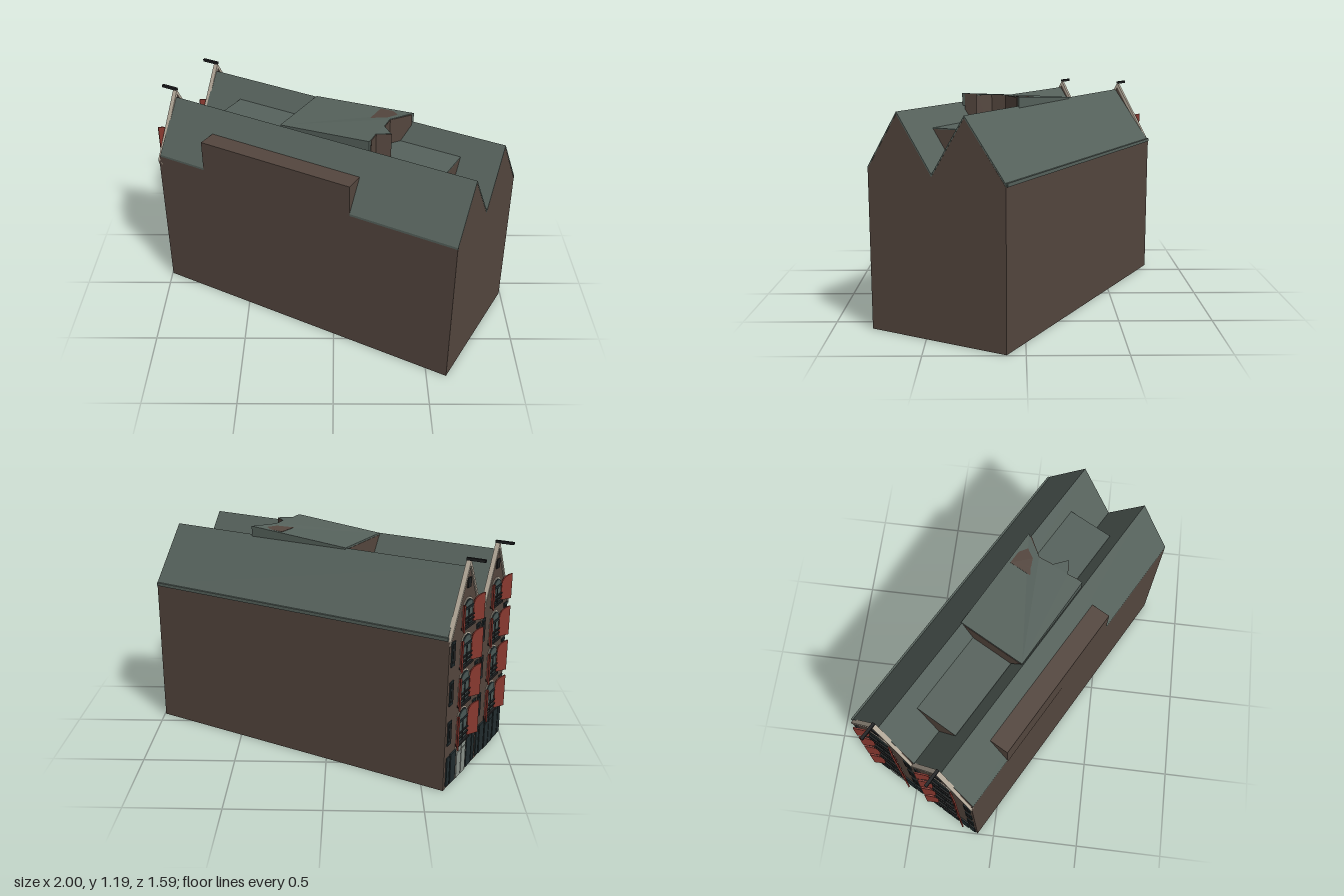
import * as THREE from 'three';

const mat = (name, color) => Object.assign(new THREE.MeshStandardMaterial({ color }), { name });
const brick = mat('brown brick', 0x54463e);
const slate = mat('grey green roof', 0x56625c);
const cream = mat('cream trim', 0xb5aa9a);
const red = mat('red shutter', 0x88382f);
const dark = mat('dark teal paint', 0x212c2e);
const glass = mat('window glass', 0x4a5856);
const black = mat('black timber', 0x1e1f20);
const pale = mat('pale door', 0x88918a);

export function createModel() {
  const model = new THREE.Group();
  const house = new THREE.Group();
  house.name = 'canalHouse';
  house.rotation.y = THREE.MathUtils.degToRad(-29);
  model.add(house);

  // Local frame: x runs along the house (facade at -x), z across it.
  const add = (name, geometry, material, parent = house) => {
    const mesh = new THREE.Mesh(geometry, material);
    mesh.name = name;
    parent.add(mesh);
    return mesh;
  };
  // Cross-section in [z, y], extruded along x
  const prism = (name, pts, x0, x1, material, parent) => {
    const shape = new THREE.Shape(pts.map(([z, y]) => new THREE.Vector2(-z, y)));
    const g = new THREE.ExtrudeGeometry(shape, { depth: x1 - x0, bevelEnabled: false });
    g.rotateY(Math.PI / 2).translate(x0, 0, 0);
    return add(name, g, material, parent);
  };
  const box = (name, x, y, z, dx, dy, dz, material) => {
    const g = new THREE.BoxGeometry(dx, dy, dz);
    g.translate(x, y, z);
    return add(name, g, material);
  };

  // Walls and double-gabled roof
  const roofLine = [[0.4, 0.855], [0.215, 1.14], [0.015, 0.845], [-0.175, 1.14], [-0.402, 0.83]];
  const lowered = roofLine.map(([z, y]) => [z, y - 0.012]);
  prism('walls', [[0.4, 0], ...lowered.slice(0, 4), [-0.4, 0.818], [-0.4, 0]], -0.91, 0.915, brick);
  prism('roof', [...roofLine, ...lowered.slice().reverse()], -0.905, 0.916, slate);
  box('gutter', 0, 0.828, -0.402, 1.82, 0.018, 0.012, slate);

  // Long side dormer, flush with the wall
  prism('sideDormer', [[0.401, 0.82], [0.401, 1.02], [0.293, 1.02], [0.293, 0.82]], -0.605, 0.315, brick);

  // Flat infills in the valley between the two ridges
  const infill = (x0, x1, y, za, zb) => {
    prism('valleyInfill', [[0.015, 0.84], [za, y], [zb, y]], x0, x1, brick);
    box('flatRoof', (x0 + x1) / 2, y + 0.002, (za + zb) / 2, x1 - x0, 0.006, za - zb, slate);
  };
  infill(-0.69, -0.21, 1.03, 0.138, -0.112);
  infill(0.28, 0.7, 1.037, 0.145, -0.112);
  prism('raisedRoofBase', [[0.015, 0.84], [0.2, 1.132], [-0.165, 1.132]], -0.214, 0.3, brick);

  // Raised roof: an outline in [x, z] whose top climbs towards the rear
  const raised = (name, outline, base, drop, material) => {
    const shape = new THREE.Shape(outline.map(([x, z]) => new THREE.Vector2(x, -z)));
    const g = new THREE.ExtrudeGeometry(shape, { depth: 1, bevelEnabled: false });
    g.rotateX(-Math.PI / 2);
    const p = g.attributes.position;
    for (let i = 0; i < p.count; i++) {
      const top = 1.142 + 0.046 * Math.min(1, (p.getX(i) + 0.21) / 0.52) - drop;
      p.setY(i, p.getY(i) > 0.5 ? top : base);
    }
    g.computeVertexNormals();
    add(name, g, material);
  };
  const rearEdge = [[0.308, -0.057], [0.316, 0.024], [0.383, 0.078], [0.315, 0.121], [0.322, 0.19]];
  raised('raisedRoof', [[-0.212, -0.18], [0.39, -0.182], ...rearEdge, [0.322, 0.208], [-0.212, 0.208]], 1.12, 0, slate);
  raised('raisedRoofRearWall',
    [[0.2, -0.165], [0.388, -0.165], ...rearEdge.map(([x, z]) => [x + 0.003, z]), [0.2, 0.19]], 1.0, 0.003, brick);

  // Facade gables with cream copings
  const gable = [[0.4, 0.815], [0.205, 1.175], [0.008, 0.825], [-0.19, 1.175], [-0.4, 0.815]];
  prism('facadeWall', [[0.4, 0], ...gable, [-0.4, 0]], -0.917, -0.903, brick);
  prism('gableCoping', [...gable.map(([z, y]) => [z, y + 0.006]),
    ...gable.map(([z, y]) => [z, y - 0.022]).reverse()], -0.924, -0.899, cream);

  // Flat piece on the facade standing out by d
  const F = -0.916;
  const plate = (name, z, y, w, h, d, material) => box(name, F - d / 2, y, z, d, h, w, material);
  // Round-headed outline: foot at y, full height h, head rise r
  const arch = (z, y, w, h, r) => {
    const pts = [[z - w / 2, y]];
    for (let i = 0; i <= 10; i++) {
      const a = Math.PI * (1 - i / 10);
      pts.push([z + (w / 2) * Math.cos(a), y + h - r + r * Math.sin(a)]);
    }
    return [...pts, [z + w / 2, y]];
  };

  const rows = [[0.205, 0.19], [0.425, 0.18], [0.635, 0.17], [0.845, 0.145]];
  for (const [column, zc] of [-0.193, 0.203].entries()) {
    for (const [row, [y, h]] of rows.entries()) {
      // Arched window with bars and a small railing
      prism('windowSurround', arch(zc, y, 0.136, h, 0.055), F - 0.005, F, cream);
      prism('windowFrame', arch(zc, y, 0.12, h - 0.009, 0.048), F - 0.007, F, dark);
      prism('windowPane', arch(zc, y + 0.01, 0.104, h - 0.027, 0.04), F - 0.009, F, glass);
      plate('windowMullion', zc, y + h * 0.33, 0.01, h * 0.66, 0.012, dark);
      plate('windowTransom', zc, y + h * 0.64, 0.12, 0.012, 0.012, dark);
      plate('windowSill', zc, y - 0.004, 0.145, 0.012, 0.02, black);
      plate('railing', zc, y + h * 0.3, 0.125, 0.007, 0.017, black);
      plate('railing', zc, y + h * 0.16, 0.125, 0.007, 0.017, black);

      for (const s of [-1, 1]) {
        // Half-arched shutter, swung open
        const leaf = new THREE.Group();
        leaf.name = 'shutter';
        leaf.position.set(F - 0.003, 0, zc + s * 0.069);
        leaf.rotation.y = -s * 0.5;
        const outline = [[0, y], [0, y + h - 0.055]];
        for (let i = 1; i <= 5; i++) {
          const a = (i / 5) * Math.PI / 2;
          outline.push([s * 0.072 * (1 - Math.cos(a)), y + h - 0.055 + 0.05 * Math.sin(a)]);
        }
        prism('shutterLeaf', [...outline, [s * 0.072, y]], -0.008, 0, red, leaf);
        house.add(leaf);
        // Narrow side window
        if (row < 3) {
          plate('sideWindowFrame', zc + s * 0.162, y + 0.105, 0.042, 0.13, 0.007, dark);
          plate('sideWindowPane', zc + s * 0.162, y + 0.108, 0.022, 0.1, 0.009, black);
        }
      }
    }

    // Ground floor doors
    plate('doorFrame', zc, 0.098, 0.136, 0.19, 0.006, column ? black : cream);
    for (const s of [-1, 1]) {
      plate('doorLeaf', zc + s * 0.031, 0.078, 0.055, 0.145, 0.009, column ? dark : pale);
      plate('doorLight', zc + s * 0.031, 0.17, 0.055, 0.03, 0.009, column ? dark : pale);
      plate('doorSidePanel', zc + s * 0.105, 0.095, 0.066, 0.17, 0.009, dark);
      plate('groundWindow', zc + s * 0.166, 0.095, 0.036, 0.16, 0.008, dark);
    }

    // Loft hatch and hoisting beam
    plate('loftHatch', zc, 1.065, 0.04, 0.05, 0.008, black);
    box('hoistBeam', -0.95, 1.183, zc, 0.1, 0.014, 0.016, black);
  }
  return model;
}
